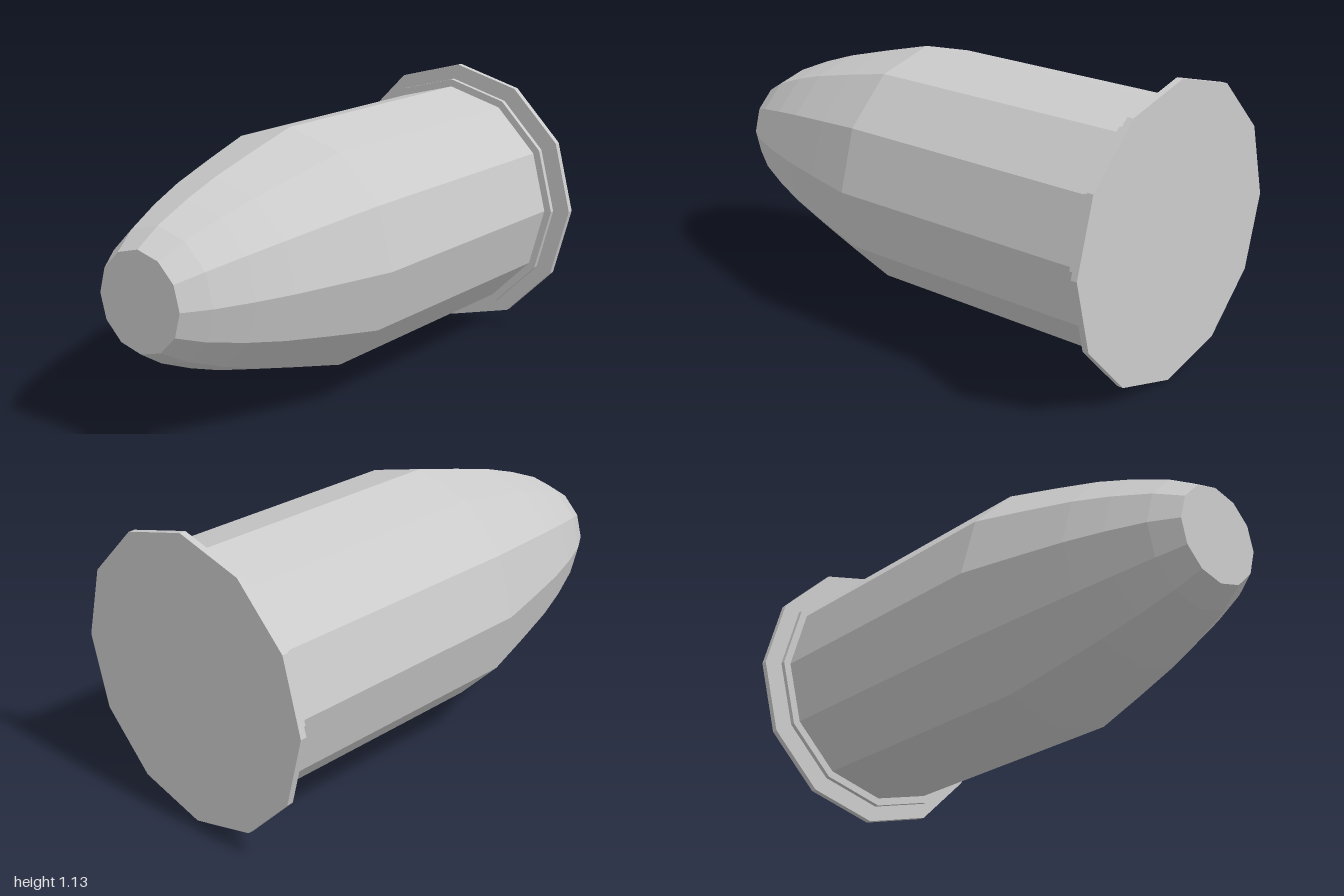
import * as THREE from 'three';

const SIDES = 12;
const AXIS_Y = 0.565;

export function createModel() {
  const group = new THREE.Group();
  group.name = 'bullet';
  const material = new THREE.MeshStandardMaterial({ color: 0xcccccc, flatShading: true });

  const add = (name, geometry) => {
    geometry.rotateX(Math.PI / 2); // lay the axis along z, nose to the front
    const mesh = new THREE.Mesh(geometry, material);
    mesh.name = name;
    mesh.position.y = AXIS_Y;
    group.add(mesh);
  };

  const disc = (name, radius, back, front) => {
    const geometry = new THREE.CylinderGeometry(radius, radius, front - back, SIDES);
    geometry.translate(0, (front + back) / 2, 0);
    add(name, geometry);
  };

  // Straight casing and tapered, blunt nose: [radius, z] from back to front
  const profile = [
    [0, -0.98], [0.477, -0.98], [0.477, 0.18], [0.42, 0.4],
    [0.365, 0.6], [0.313, 0.75], [0.25, 0.9], [0.188, 1], [0, 1],
  ].map(([r, z]) => new THREE.Vector2(r, z));
  add('body', new THREE.LatheGeometry(profile, SIDES));

  // Thin ring and the wider rim behind it
  disc('ring', 0.508, -0.945, -0.925);
  disc('rim', 0.565, -1, -0.975);

  return group;
}
